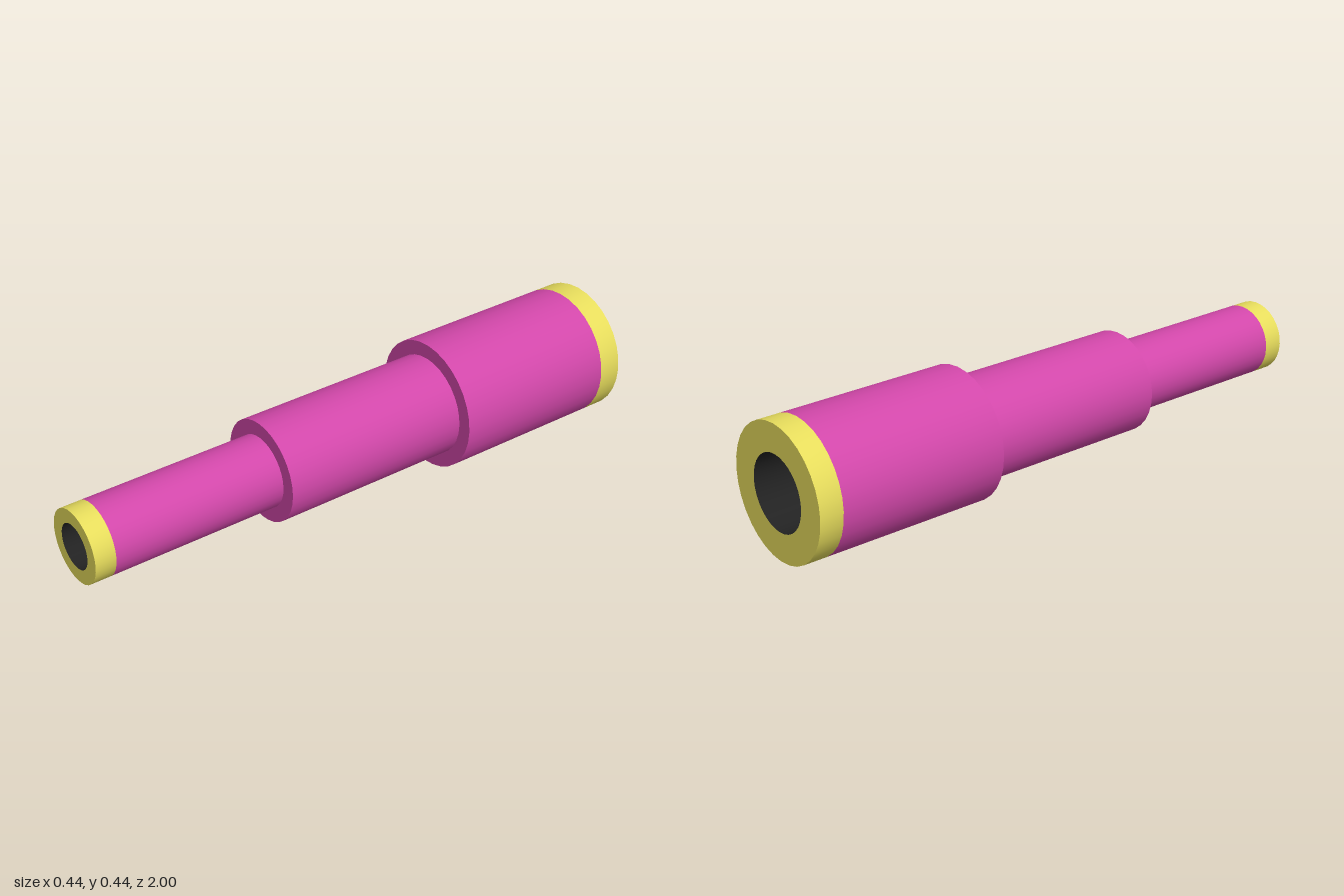
import * as THREE from 'three';
import { toCreasedNormals } from 'three/addons/utils/BufferGeometryUtils.js';

const AXIS_HEIGHT = 0.222;
const SEGMENTS = 32;

// Spins a [radius, z] profile around the z axis, keeping the steps sharp
function turned(name, profile, color, side = THREE.FrontSide) {
  const points = profile.map(([r, z]) => new THREE.Vector2(r, z));
  const lathe = new THREE.LatheGeometry(points, SEGMENTS).rotateX(Math.PI / 2);
  const mesh = new THREE.Mesh(
    toCreasedNormals(lathe, 0.6),
    new THREE.MeshStandardMaterial({ color, side })
  );
  mesh.name = name;
  mesh.position.y = AXIS_HEIGHT;
  return mesh;
}

export function createModel() {
  const group = new THREE.Group();
  group.name = 'steppedTube';
  const pink = 0xd147a9, yellow = 0xe6dc5c, black = 0x222222;

  // Yellow end bands: rim face plus a short collar
  group.add(turned('rearBand', [[0.125, -1], [0.222, -1], [0.222, -0.92]], yellow, THREE.DoubleSide));
  group.add(turned('frontBand', [[0.122, 0.93], [0.122, 1], [0.075, 1]], yellow, THREE.DoubleSide));

  // Three sections of equal length, each narrower than the one behind
  group.add(turned('rearSection', [[0.222, -0.92], [0.222, -0.333], [0.172, -0.333]], pink));
  group.add(turned('middleSection', [[0.172, -0.333], [0.172, 0.333], [0.122, 0.333]], pink));
  group.add(turned('frontSection', [[0.122, 0.333], [0.122, 0.93]], pink));

  // Dark bore running right through, wider at the rear
  group.add(turned('bore', [[0.075, 1], [0.125, -1]], black, THREE.DoubleSide));

  return group;
}
